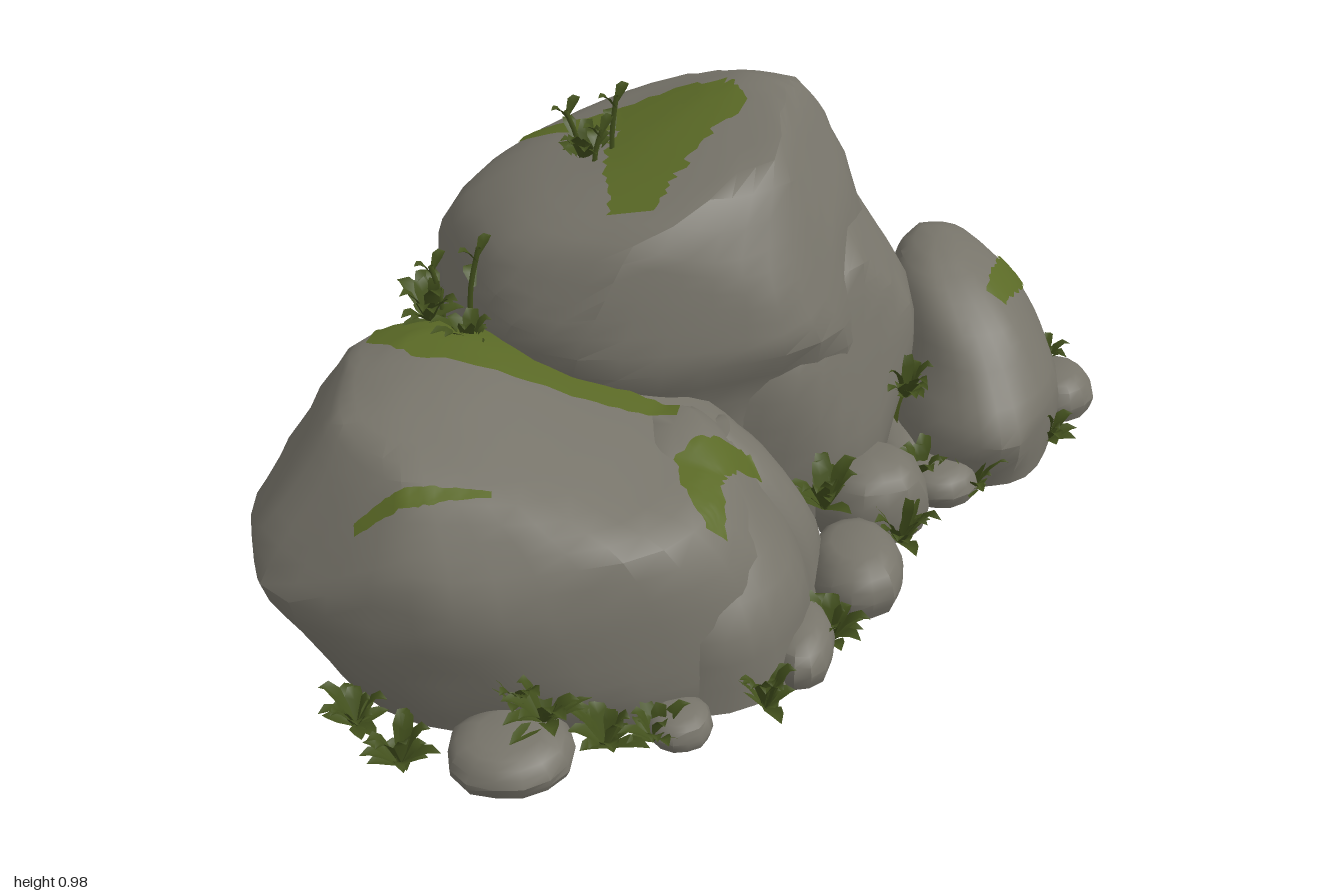
import * as THREE from 'three';
import { mergeGeometries, toCreasedNormals } from 'three/addons/utils/BufferGeometryUtils.js';

const stone = new THREE.MeshStandardMaterial({ color: 0x77746a });
stone.name = 'stone';
const moss = new THREE.MeshStandardMaterial({ color: 0x5a6926, side: THREE.DoubleSide });
moss.name = 'moss';
const leaf = new THREE.MeshStandardMaterial({ color: 0x43511d, side: THREE.DoubleSide });
leaf.name = 'leaf';

const seeded = (s) => () => {
  s = (s * 16807) % 2147483647;
  return s / 2147483647;
};

function geometryFrom(pos, index) {
  const g = new THREE.BufferGeometry();
  g.setAttribute('position', new THREE.Float32BufferAttribute(pos, 3));
  g.setIndex(index);
  g.computeVertexNormals();
  return g;
}

// Boulder lofted from rows [y, xMin, xMax, zMin, zMax, tilt], chipped by random planes
function rock(name, rows, seed, segs = 36, steps = 3) {
  const rnd = seeded(seed * 7919 + 13);
  const sideCurve = new THREE.CatmullRomCurve3(rows.map((r) => new THREE.Vector3(r[0], r[1], r[2])));
  const depthCurve = new THREE.CatmullRomCurve3(rows.map((r) => new THREE.Vector3(r[3], r[4], r[5] || 0)));
  const x0 = Math.min(...rows.map((r) => r[1])), x1 = Math.max(...rows.map((r) => r[2]));
  const z0 = Math.min(...rows.map((r) => r[3])), z1 = Math.max(...rows.map((r) => r[4]));
  const floor = rows[0][0], height = rows[rows.length - 1][0] - floor;
  const mid = new THREE.Vector3((x0 + x1) / 2, floor, (z0 + z1) / 2);
  const half = new THREE.Vector3((x1 - x0) / 2, height, (z1 - z0) / 2);
  const planes = Array.from({ length: 26 }, () => {
    const a = rnd() * Math.PI * 2, y = rnd() * 0.8;
    const r = Math.sqrt(1 - y * y);
    return { n: new THREE.Vector3(Math.cos(a) * r, y, Math.sin(a) * r), h: 0.96 + y * 0.2 + rnd() * 0.1 };
  });
  const phase = rnd() * 6;
  const pos = [], index = [], count = (rows.length - 1) * steps;
  const p = new THREE.Vector3();
  const add = (x, y, z) => {
    p.set(x, y, z).sub(mid).divide(half);
    for (const { n, h } of planes) {
      const over = p.dot(n) - h;
      if (over > 0) p.addScaledVector(n, -over * 0.85);
    }
    p.multiply(half).add(mid);
    pos.push(p.x, Math.max(p.y, floor), p.z);
  };
  for (let i = 0; i <= count; i++) {
    const s = sideCurve.getPoint(i / count), d = depthCurve.getPoint(i / count);
    const cx = (s.y + s.z) / 2, cz = (d.x + d.y) / 2;
    for (let j = 0; j < segs; j++) {
      const a = (j / segs) * Math.PI * 2, c = Math.cos(a), n = Math.sin(a);
      const k = Math.pow(Math.abs(c) ** 2.2 + Math.abs(n) ** 2.2, -1 / 2.2)
        * (1 + 0.02 * Math.sin(3 * a + phase + s.x * 9) + 0.018 * Math.sin(6 * a - s.x * 14 + phase));
      const dx = c * k * (s.z - s.y) / 2, dz = n * k * (d.y - d.x) / 2;
      add(cx + dx, i === 0 ? floor : s.x + d.z * dx, cz + dz);
    }
    if (i === count) add(cx, s.x + height * 0.01, cz);
  }
  const apex = pos.length / 3 - 1;
  for (let i = 0; i <= count; i++) {
    for (let j = 0; j < segs; j++) {
      const a = i * segs + j, b = i * segs + (j + 1) % segs;
      if (i === count) index.push(a, apex, b);
      else index.push(a, a + segs, b, b, a + segs, b + segs);
    }
  }
  // flat underside
  pos.push(mid.x, floor, mid.z);
  for (let j = 0; j < segs; j++) index.push(apex + 1, j, (j + 1) % segs);
  const mesh = new THREE.Mesh(toCreasedNormals(geometryFrom(pos, index), 0.6), stone);
  mesh.name = name;
  return mesh;
}

function pebble(x, z, rx, rz, h, seed) {
  const rows = [[0.02, 0.9], [0.02 + h * 0.4, 1], [0.02 + h * 0.8, 0.84], [0.02 + h, 0.5]];
  return rock('pebble', rows.map(([y, k]) => [y, x - rx * k, x + rx * k, z - rz * k, z + rz * k]), seed, 14, 2);
}

// Moss strip along points [x, z, halfWidth], draped on the given rocks
function mossPatch(path, rocks, seed) {
  const rnd = seeded(seed * 331 + 5);
  const curve = new THREE.CatmullRomCurve3(path.map(([x, z, w]) => new THREE.Vector3(x, w, z)));
  const ray = new THREE.Raycaster(), down = new THREE.Vector3(0, -1, 0);
  const pos = [], hitOk = [], index = [], N = 28, M = 10;
  for (let i = 0; i <= N; i++) {
    const p = curve.getPoint(i / N), t = curve.getTangent(i / N);
    const l = Math.hypot(t.x, t.z) || 1;
    const left = p.y * (0.85 + rnd() * 0.3), right = p.y * (0.85 + rnd() * 0.3);
    for (let j = 0; j <= M; j++) {
      const w = THREE.MathUtils.lerp(-left, right, j / M);
      const x = p.x - (t.z / l) * w, z = p.z + (t.x / l) * w;
      ray.set(new THREE.Vector3(x, 3, z), down);
      const hit = ray.intersectObjects(rocks)[0];
      hitOk.push(!!hit && hit.point.y > 0.04);
      const q = hit ? hit.point.addScaledVector(hit.face.normal, 0.007) : new THREE.Vector3(x, 0, z);
      pos.push(q.x, q.y, q.z);
    }
  }
  for (let i = 0; i < N; i++) for (let j = 0; j < M; j++) {
    const a = i * (M + 1) + j, b = a + M + 1;
    if ([a, a + 1, b, b + 1].every((k) => hitOk[k])) index.push(a, a + 1, b, b, a + 1, b + 1);
  }
  const mesh = new THREE.Mesh(geometryFrom(pos, index), moss);
  mesh.name = 'mossPatch';
  return mesh;
}

// Folded pointed leaf, arching away from its base
function blade(angle, len, rise, width) {
  const pos = [], index = [];
  [[0, 0.35, 0], [0.45, 1, 0.75], [0.75, 0.7, 1], [1, 0.02, 0.95]].forEach(([t, w, y], i) => {
    pos.push(t * len, y * rise + w * width * 0.4, -w * width, t * len, y * rise, 0,
      t * len, y * rise + w * width * 0.4, w * width);
    if (i < 3) for (let k = 0; k < 2; k++) {
      const a = i * 3 + k;
      index.push(a, a + 1, a + 3, a + 1, a + 4, a + 3);
    }
  });
  return geometryFrom(pos, index).rotateY(angle);
}

function tuft(x, y, z, size, seed) {
  const rnd = seeded(seed * 977 + 3);
  const blades = Array.from({ length: 18 }, (_, i) =>
    blade(i * 2.4 + rnd(), size * (0.3 + rnd() * 0.6), size * (0.1 + rnd() * 0.9), size * 0.19));
  const mesh = new THREE.Mesh(mergeGeometries(blades), leaf);
  mesh.name = 'grassTuft';
  mesh.position.set(x, y, z);
  return mesh;
}

// Thin stem with leaves near the tip
function sprig(x, y, z, h, lean) {
  const v = (a, b) => new THREE.Vector3(a, b, 0);
  const stem = new THREE.TubeGeometry(new THREE.CatmullRomCurve3(
    [v(0, 0), v(lean * 0.3, h * 0.5), v(lean, h * 0.92)]), 6, 0.006, 5);
  stem.deleteAttribute('uv');
  const parts = [stem];
  [[0.9, 0.8], [0.82, 3.6], [0.5, 2]].forEach(([t, a]) =>
    parts.push(blade(a, 0.042, 0.035, 0.016).translate(lean * t, h * t * 0.92, 0)));
  const mesh = new THREE.Mesh(mergeGeometries(parts), leaf);
  mesh.name = 'sprig';
  mesh.position.set(x, y, z);
  return mesh;
}

export function createModel() {
  const model = new THREE.Group();
  model.name = 'mossyBoulders';

  // Large boulders
  const main = rock('mainBoulder', [
    [0.02, -0.52, 0.36, -0.82, 0.08], [0.2, -0.61, 0.4, -0.88, 0.11], [0.4, -0.66, 0.42, -0.89, 0.13],
    [0.58, -0.63, 0.42, -0.86, 0.19, 0.03], [0.73, -0.54, 0.4, -0.79, 0.22, 0.08], [0.825, -0.42, 0.34, -0.71, 0.14, 0.14],
    [0.88, -0.22, 0.26, -0.6, -0.06, 0.18], [0.925, 0, 0.16, -0.5, -0.32, 0.15]], 4);
  const back = rock('backBoulder', [
    [0.02, -0.3, 0.44, -0.8, 0.1], [0.25, -0.3, 0.49, -0.88, 0.11], [0.45, -0.25, 0.5, -0.86, 0.07],
    [0.58, -0.1, 0.46, -0.8, -0.03], [0.67, 0, 0.39, -0.68, -0.18]], 9);
  const front = rock('frontBoulder', [
    [0.02, -0.88, 0.2, -0.05, 0.72], [0.15, -0.95, 0.2, -0.12, 0.75], [0.28, -1, 0.14, -0.16, 0.755],
    [0.42, -0.95, 0.03, -0.15, 0.73], [0.5, -0.88, -0.13, -0.1, 0.66, -0.1],
    [0.55, -0.79, -0.33, -0.02, 0.53, -0.1], [0.59, -0.69, -0.5, 0.08, 0.34, -0.05]], 15);
  const spur = rock('frontSpur', [
    [0.02, -0.3, 0.2, 0.1, 0.69], [0.2, -0.3, 0.18, 0.12, 0.67], [0.35, -0.26, 0.08, 0.13, 0.57],
    [0.43, -0.2, 0.02, 0.15, 0.45], [0.465, -0.15, -0.03, 0.2, 0.36]], 22, 28);
  const shoulder = rock('spurShoulder', [
    [0.02, -0.08, 0.25, 0.1, 0.39], [0.18, -0.08, 0.22, 0.11, 0.37], [0.34, -0.08, 0.12, 0.13, 0.34],
    [0.43, -0.08, 0.03, 0.16, 0.3]], 25, 20);
  const side = rock('sideBoulder', [
    [0.02, 0.43, 0.88, -0.77, -0.08], [0.15, 0.44, 0.89, -0.8, -0.06], [0.26, 0.455, 0.85, -0.75, -0.14],
    [0.36, 0.47, 0.785, -0.7, -0.22], [0.43, 0.485, 0.71, -0.67, -0.32], [0.47, 0.53, 0.63, -0.58, -0.42]], 31, 30);
  model.add(main, back, front, spur, shoulder, side);

  // Pebbles around the base: x, z, half sizes, height
  const pebbles = [[0.9, -0.45, 0.1, 0.11, 0.1], [0.31, 0.27, 0.11, 0.14, 0.12], [-0.44, 0.8, 0.13, 0.12, 0.08],
    [-0.1, 0.73, 0.07, 0.07, 0.06], [0.37, 0.02, 0.14, 0.13, 0.17],
    [-0.48, -0.64, 0.12, 0.12, 0.13], [-0.67, -0.32, 0.11, 0.14, 0.14], [0.39, -0.77, 0.12, 0.13, 0.13],
    [0.77, -0.73, 0.08, 0.07, 0.08], [0.55, -0.1, 0.1, 0.11, 0.08], [0.16, 0.5, 0.08, 0.13, 0.1],
    [0.47, -0.35, 0.1, 0.3, 0.1], [-0.62, -0.12, 0.12, 0.13, 0.14]]
    .map((a, i) => pebble(...a, 40 + i));
  model.add(...pebbles);

  // Moss
  [[[[-0.42, -0.52, 0.02], [-0.25, -0.45, 0.04], [-0.07, -0.39, 0.1], [0.02, -0.34, 0.11], [0.09, -0.31, 0.03]], [main]],
    [[[-0.06, -0.46, 0.05], [-0.1, -0.28, 0.12], [-0.14, -0.12, 0.08], [-0.17, 0.01, 0.05]], [main]],
    [[[-0.74, 0.04, 0.05], [-0.6, 0.06, 0.13], [-0.4, 0.16, 0.07], [-0.22, 0.2, 0.05], [-0.08, 0.23, 0.02]], [front, spur]],
    [[[0.08, 0.3, 0.02], [-0.04, 0.4, 0.05], [-0.02, 0.57, 0.02]], [front, spur, shoulder]],
    [[[-0.73, 0.59, 0.01], [-0.6, 0.59, 0.016], [-0.46, 0.59, 0.008]], [front]],
    [[[0.8, -0.63, 0.025], [0.77, -0.5, 0.035], [0.7, -0.32, 0.025]], [side]],
    [[[0.475, -0.48, 0.015], [0.475, -0.35, 0.022], [0.475, -0.22, 0.015]], [side]]]
    .forEach(([path, rocks], i) => model.add(mossPatch(path, rocks, i + 1)));

  // Grass around the base and in the crevices: x, y, z, size
  [[-0.45, 0.08, -0.74, 0.12], [-0.38, 0.04, -0.79, 0.1], [0, 0.04, -0.87, 0.09], [0.21, 0.04, -0.84, 0.09],
    [0.4, 0.1, -0.8, 0.1], [0.58, 0.05, -0.81, 0.11], [0.88, 0.08, -0.52, 0.08], [0.84, 0.04, -0.24, 0.11],
    [0.5, 0.05, -0.07, 0.1], [0.43, 0.03, 0.14, 0.11], [0.23, 0.02, 0.47, 0.11], [0.08, 0.02, 0.67, 0.1],
    [-0.25, 0.02, 0.77, 0.11], [-0.37, 0.09, 0.77, 0.11], [-0.76, 0.02, 0.68, 0.1], [-0.66, 0.02, 0.8, 0.1],
    [-0.7, 0.1, -0.2, 0.12], [-0.79, 0.03, -0.17, 0.09], [0.47, 0.24, -0.15, 0.1], [0.25, 0.14, 0.15, 0.11],
    [0.63, 0.03, -0.06, 0.09], [-0.42, 0.11, 0.74, 0.09], [-0.15, 0.02, 0.76, 0.09], [0.48, 0.08, -0.8, 0.09],
    [-0.27, 0.785, -0.31, 0.1], [-0.62, 0.56, -0.02, 0.11], [-0.53, 0.54, 0.06, 0.1]]
    .forEach((a, i) => model.add(tuft(...a, i + 1)));

  // Sprigs on top
  [[-0.21, 0.81, -0.28, 0.18, 0.015], [-0.28, 0.79, -0.33, 0.14, -0.03], [-0.25, 0.8, -0.26, 0.11, 0.02],
    [-0.53, 0.56, 0, 0.21, 0.03], [-0.59, 0.56, -0.04, 0.14, -0.02]]
    .forEach((a) => model.add(sprig(...a)));
  return model;
}
